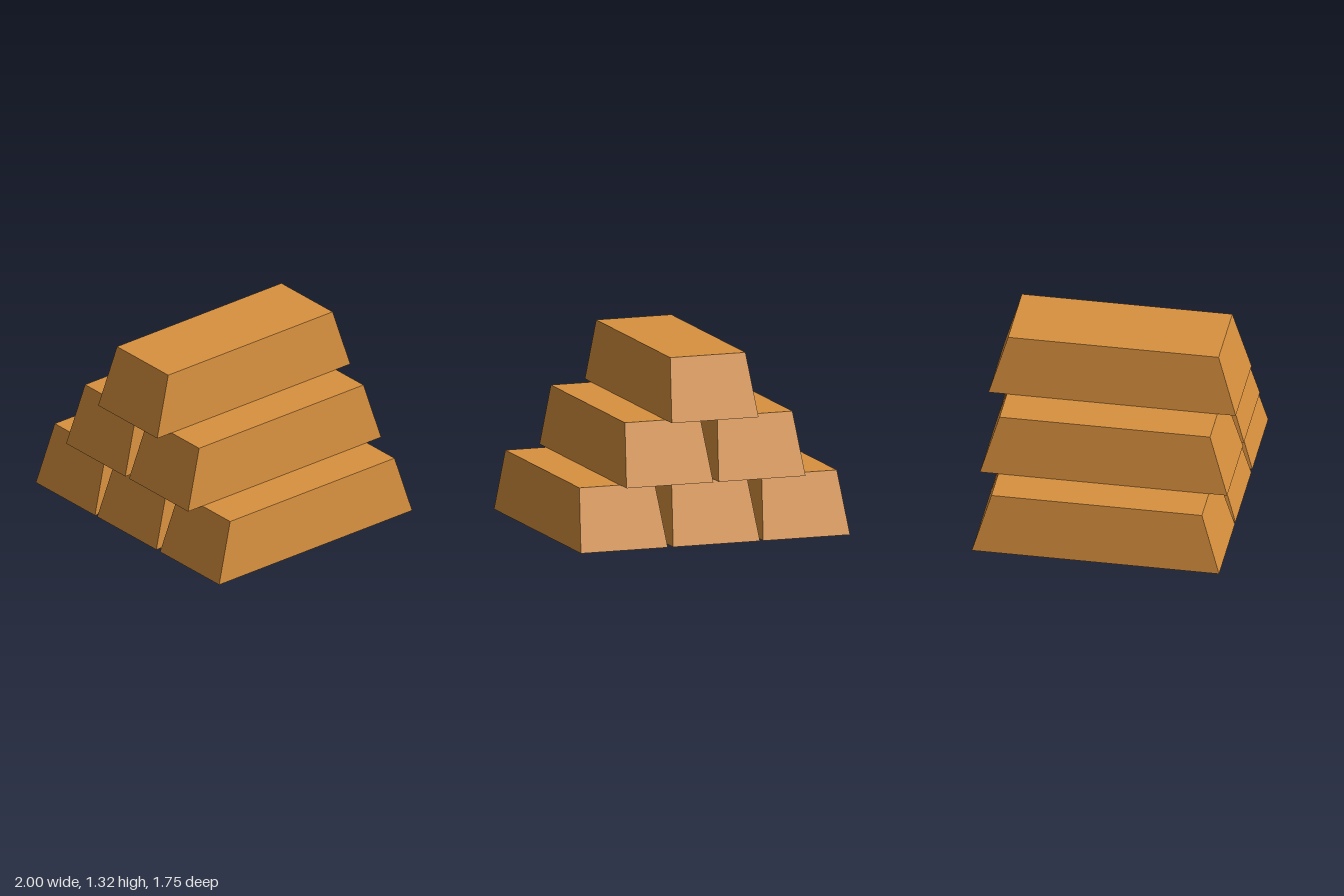
import * as THREE from 'three';

const HEIGHT = 0.44;

// Tapered ingot: a box whose top face is drawn in, slightly more on one side
function ingotGeometry() {
  const geo = new THREE.BoxGeometry(0.645, HEIGHT, 1.75);
  geo.translate(0, HEIGHT / 2, 0);
  const p = geo.attributes.position;
  for (let i = 0; i < p.count; i++) {
    if (p.getY(i) < HEIGHT / 2) continue;
    const x = p.getX(i), z = p.getZ(i);
    p.setX(i, x < 0 ? x + 0.05 : x - 0.036);
    p.setZ(i, z - Math.sign(z) * 0.13);
  }
  geo.computeVertexNormals();
  return geo;
}

export function createModel() {
  const model = new THREE.Group();
  model.name = 'ingotStack';
  const gold = new THREE.MeshStandardMaterial({ color: 0xd9913f });
  gold.name = 'gold';
  const geo = ingotGeometry();

  // Bar centres for each layer, bottom to top
  const layers = [
    { name: 'bottom', xs: [-0.6775, -0.008, 0.6775] },
    { name: 'middle', xs: [-0.347, 0.339] },
    { name: 'top', xs: [0.002] },
  ];
  layers.forEach(({ name, xs }, row) => {
    xs.forEach((x, i) => {
      const bar = new THREE.Mesh(geo, gold);
      bar.name = `${name}Ingot${i + 1}`;
      bar.position.set(x, row * HEIGHT, 0);
      model.add(bar);
    });
  });
  return model;
}
